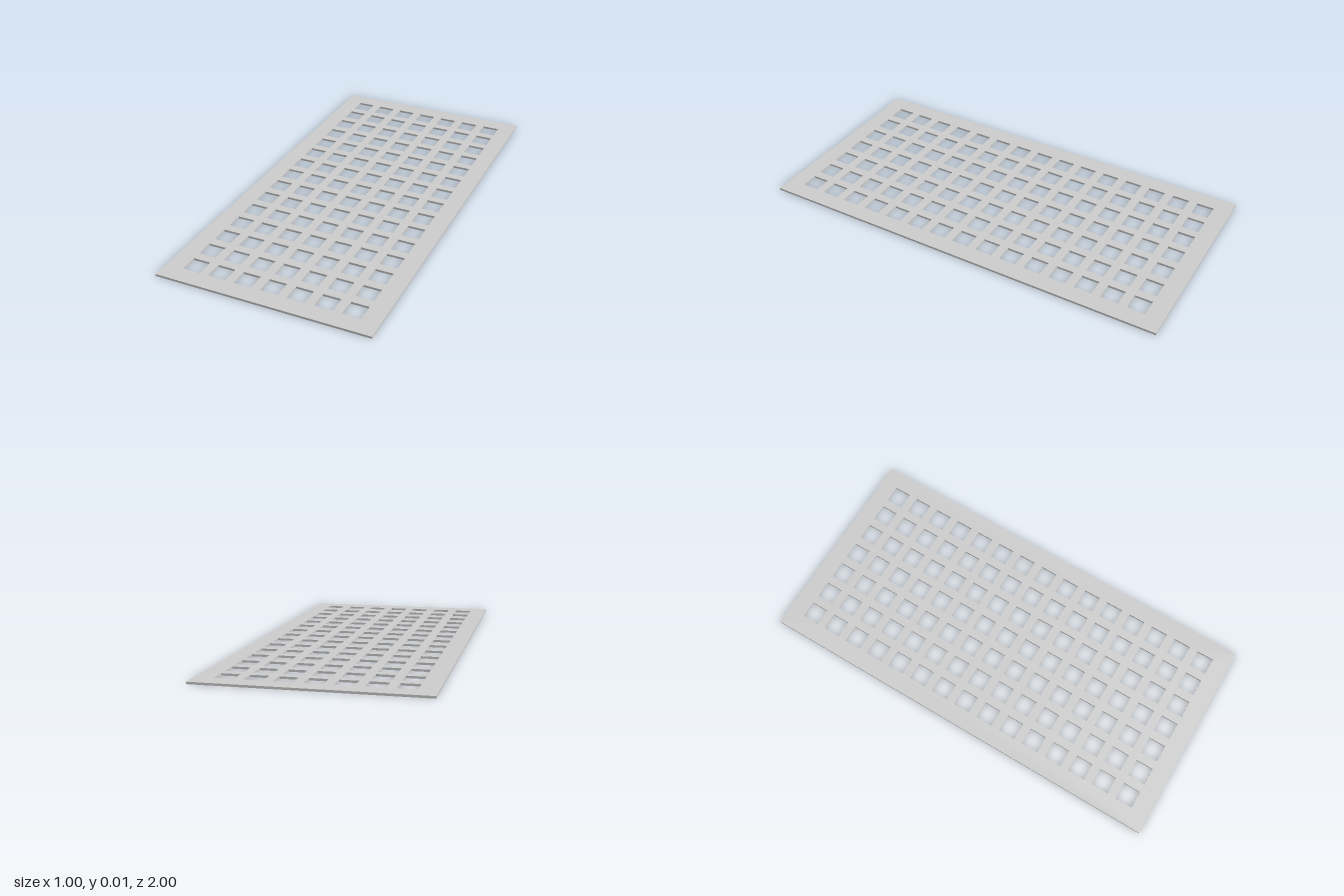
import * as THREE from 'three';

const WIDTH = 1, LENGTH = 2, THICKNESS = 0.01;
const COLUMNS = 7, ROWS = 15, PITCH = 0.125, HOLE = 0.0833;

// Rectangle centred on (cx, cy), traced counter-clockwise
function traceRect(path, cx, cy, w, h) {
  path.moveTo(cx - w / 2, cy - h / 2);
  path.lineTo(cx + w / 2, cy - h / 2);
  path.lineTo(cx + w / 2, cy + h / 2);
  path.lineTo(cx - w / 2, cy + h / 2);
  path.closePath();
  return path;
}

export function createModel() {
  const group = new THREE.Group();
  group.name = 'floorGrate';

  // Plate outline pierced by a regular grid of square holes
  const outline = traceRect(new THREE.Shape(), 0, 0, WIDTH, LENGTH);
  for (let row = 0; row < ROWS; row++) {
    for (let col = 0; col < COLUMNS; col++) {
      const x = (col - (COLUMNS - 1) / 2) * PITCH;
      const y = (row - (ROWS - 1) / 2) * PITCH;
      outline.holes.push(traceRect(new THREE.Path(), x, y, HOLE, HOLE));
    }
  }

  // Thin plate laid flat on the ground
  const geometry = new THREE.ExtrudeGeometry(outline, { depth: THICKNESS, bevelEnabled: false });
  geometry.rotateX(-Math.PI / 2);
  const plate = new THREE.Mesh(geometry, new THREE.MeshStandardMaterial({ color: 0xcccccc }));
  plate.name = 'perforatedPlate';
  group.add(plate);

  return group;
}
